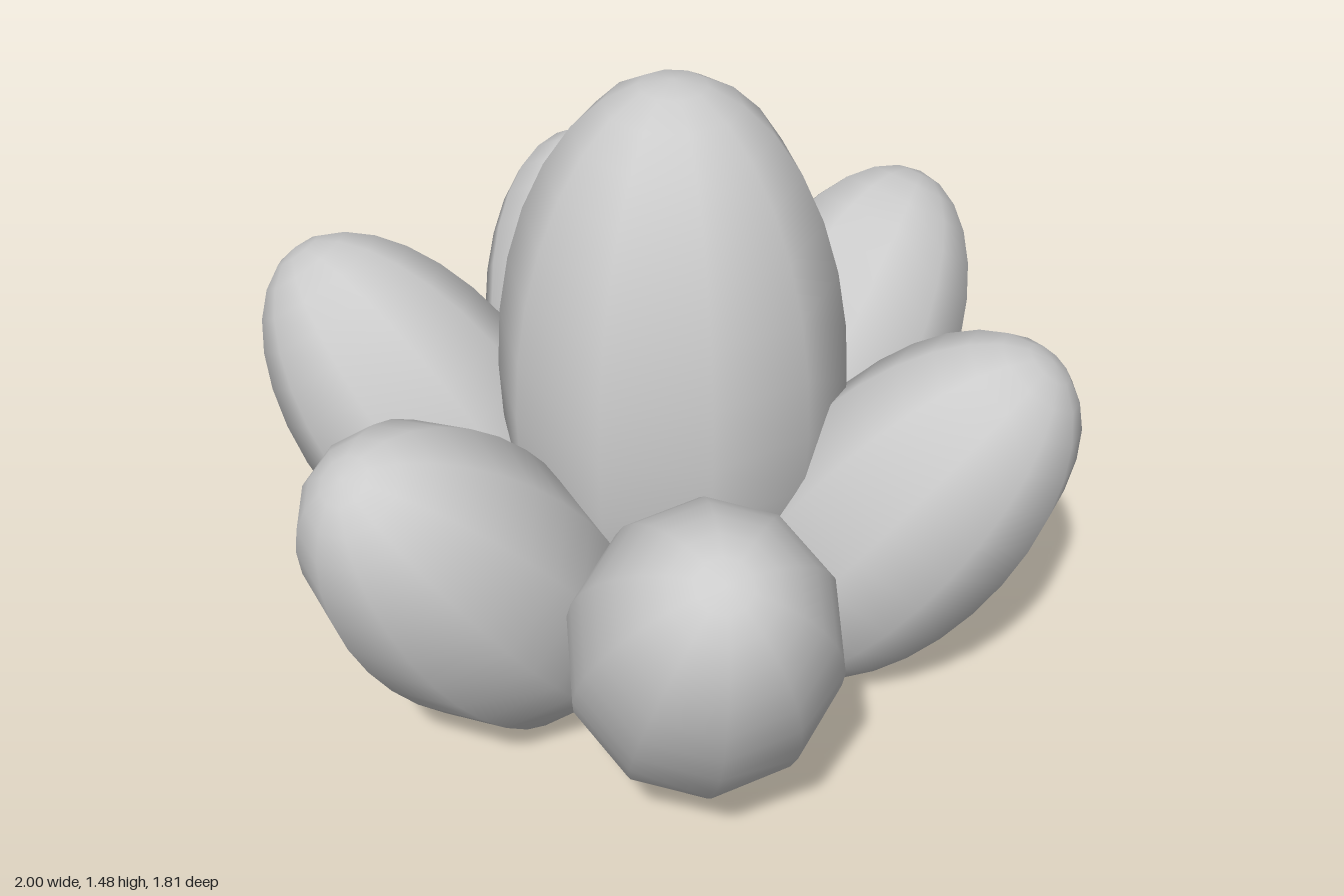
import * as THREE from 'three';

export function createModel() {
  const model = new THREE.Group();
  const material = new THREE.MeshStandardMaterial({ color: 0xcccccc });

  // Elongated, smooth-shaded ten-sided bud with its poles on the y axis
  const bud = (name, radius, halfLength) => {
    const geometry = new THREE.SphereGeometry(1, 10, 16);
    geometry.scale(radius, halfLength, radius);
    const mesh = new THREE.Mesh(geometry, material);
    mesh.name = name;
    return mesh;
  };

  // Tall upright bud in the middle, with a corner facing the front
  const centre = bud('centreBud', 0.4, 0.74);
  centre.position.set(0, 0.74, 0.045);
  centre.rotation.y = Math.PI / 2;
  model.add(centre);

  // Slightly uneven ring of outward-leaning petals: x, z, heading in degrees
  const petals = [
    ['leftPetal', 0.6, 0.04, 4],
    ['frontLeftPetal', 0.22, 0.53, 56],
    ['frontRightPetal', -0.45, 0.53, 133],
    ['rightPetal', -0.6, -0.015, 184],
    ['backRightPetal', -0.235, -0.52, 247],
    ['backLeftPetal', 0.33, -0.48, 307],
  ];
  const lean = THREE.MathUtils.degToRad(37);
  for (const [name, x, z, heading] of petals) {
    const petal = bud(name, 0.3, 0.54);
    petal.position.set(x, 0.465, z);
    petal.rotation.set(0, -THREE.MathUtils.degToRad(heading), -lean, 'YXZ');
    model.add(petal);
  }

  return model;
}
